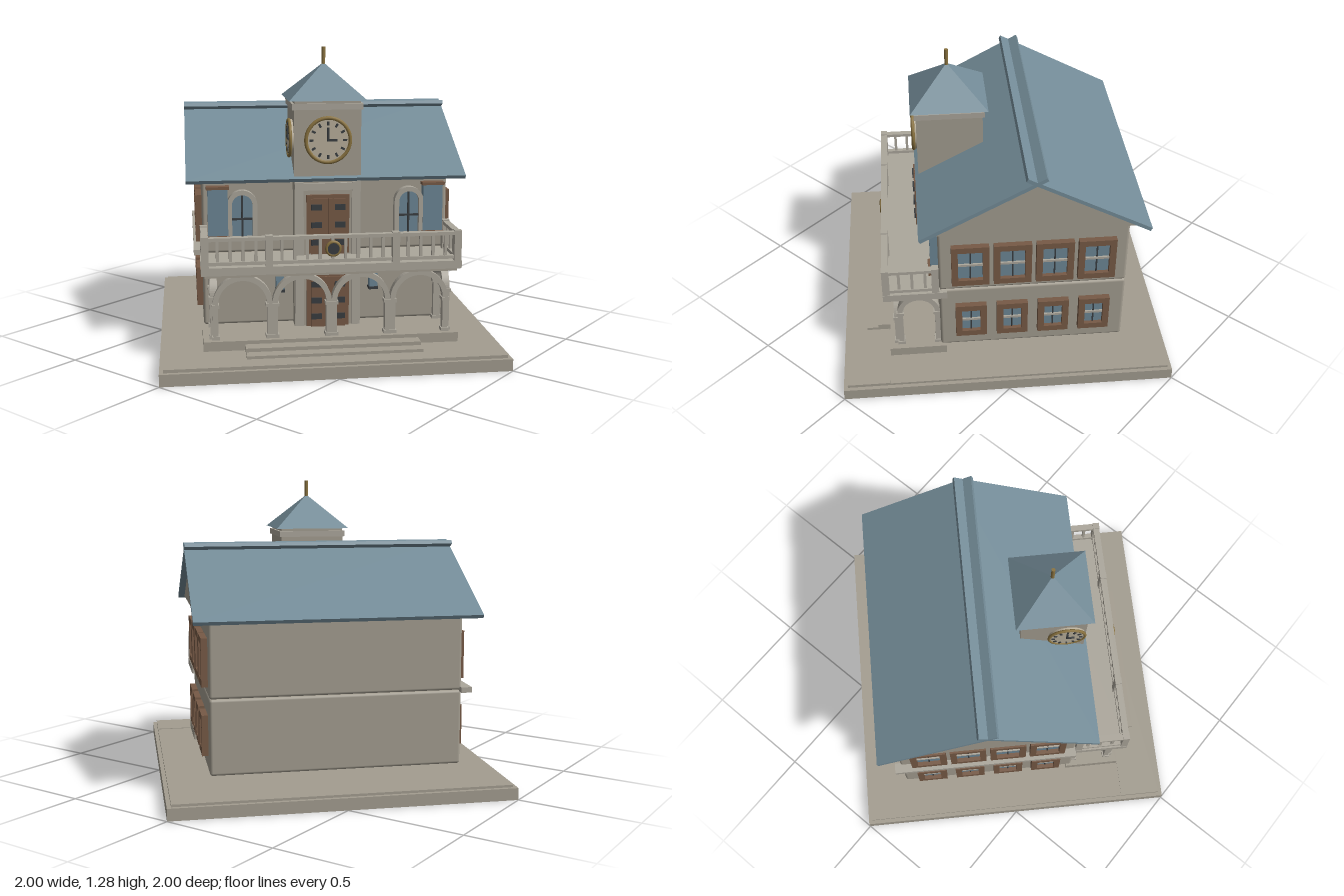
import * as THREE from 'three';
import { RoundedBoxGeometry } from 'three/addons/geometries/RoundedBoxGeometry.js';

const mat = (name, color, side = THREE.FrontSide) => {
  const m = new THREE.MeshStandardMaterial({ color, side });
  m.name = name;
  return m;
};

export function createModel() {
  const stone = mat('stone', 0xa39d90), trim = mat('trim', 0xaca79c), slate = mat('slate', 0x748c98),
    wood = mat('wood', 0x775a46), dark = mat('darkMetal', 0x393d40), glass = mat('glass', 0x6d8796),
    gold = mat('gold', 0x8a7340), cream = mat('clockFace', 0xb9af9b);

  const model = new THREE.Group();
  model.name = 'clockTowerHall';
  const hall = new THREE.Group();
  hall.name = 'hall';
  hall.rotation.y = Math.PI / 4; // the facade looks along the diagonal
  model.add(hall);

  const put = (parent, name, geo, m, x = 0, y = 0, z = 0) => {
    const mesh = new THREE.Mesh(geo, m);
    mesh.name = name;
    mesh.position.set(x, y, z);
    parent.add(mesh);
    return mesh;
  };
  const box = (parent, name, m, x0, x1, y0, y1, z0, z1, r = 0) => {
    const s = [x1 - x0, y1 - y0, z1 - z0];
    const geo = r ? new RoundedBoxGeometry(...s, 2, r) : new THREE.BoxGeometry(...s);
    return put(parent, name, geo, m, (x0 + x1) / 2, (y0 + y1) / 2, (z0 + z1) / 2);
  };
  const group = (name, x = 0, y = 0, z = 0, ry = 0) => {
    const g = new THREE.Group();
    g.name = name;
    g.position.set(x, y, z);
    g.rotation.y = ry;
    hall.add(g);
    return g;
  };
  const extrude = (shape, depth) => new THREE.ExtrudeGeometry(shape, { depth, bevelEnabled: false, curveSegments: 16 });
  // outline of a round-topped opening standing on y = 0
  const archPath = (P, w, spring, y0 = 0) => {
    const p = new P();
    p.moveTo(-w, y0);
    p.lineTo(w, y0);
    p.lineTo(w, spring);
    p.absarc(0, spring, w, 0, Math.PI, false);
    p.lineTo(-w, y0);
    return p;
  };

  // ground slab, porch and steps
  box(hall, 'groundSlab', stone, -0.707, 0.707, 0, 0.05, -0.707, 0.707);
  box(hall, 'paving', stone, -0.69, 0.69, 0.05, 0.06, -0.69, 0.69);
  box(hall, 'frontPath', stone, -0.69, 0.69, 0.06, 0.063, 0.51, 0.69);
  box(hall, 'porch', stone, -0.53, 0.53, 0.065, 0.105, 0.26, 0.505);
  box(hall, 'upperStep', stone, -0.36, 0.36, 0.06, 0.09, 0.5, 0.56);
  box(hall, 'lowerStep', stone, -0.36, 0.36, 0.06, 0.075, 0.5, 0.61);

  // two storeys
  box(hall, 'lowerStorey', stone, -0.523, 0.523, 0.108, 0.422, -0.51, 0.283, 0.012);
  box(hall, 'upperStorey', stone, -0.523, 0.523, 0.422, 0.755, -0.51, 0.283, 0.012);
  box(hall, 'sideLedge', trim, -0.56, -0.515, 0.415, 0.438, -0.535, 0.283);

  // attic and crossing roof slabs
  const ridgeZ = -0.113, slope = Math.atan2(0.255, 0.473);
  const attic = new THREE.Shape();
  attic.moveTo(-0.455, 0.742);
  attic.lineTo(0.455, 0.742);
  attic.lineTo(0, 0.99);
  const atticMesh = put(hall, 'attic', extrude(attic, 1.12), stone, -0.56, 0, ridgeZ);
  atticMesh.rotation.y = Math.PI / 2;
  for (const s of [1, -1]) {
    const slab = group('roofSlope', 0, 1.0, ridgeZ, s > 0 ? 0 : Math.PI);
    const tilt = new THREE.Group();
    tilt.rotation.x = slope;
    slab.add(tilt);
    box(tilt, 'roofSlab', slate, -0.587, 0.587, -0.016, 0, -0.042, 0.537);
  }

  // tower
  box(hall, 'towerBody', stone, -0.14, 0.14, 0.108, 1.04, 0.065, 0.345);
  const tz = 0.205;
  const band = (name, m, h, y0, y1) => box(hall, name, m, -h, h, y0, y1, tz - h, tz + h);
  band('towerCornice', trim, 0.148, 1.03, 1.055);
  band('towerNeck', stone, 0.138, 1.04, 1.072);
  const spire = new THREE.ConeGeometry(0.163 * Math.SQRT2, 0.148, 4, 1).toNonIndexed();
  spire.rotateY(Math.PI / 4);
  spire.computeVertexNormals();
  put(hall, 'towerRoof', spire, slate, 0, 1.141, tz);
  put(hall, 'finial', new THREE.CylinderGeometry(0.008, 0.008, 0.08, 10), gold, 0, 1.24, tz);
  for (const s of [-1, 1]) {
    box(hall, 'towerPilaster', trim, s * 0.12 - 0.018, s * 0.12 + 0.018, 0.11, 0.73, 0.34, 0.357);
  }
  box(hall, 'towerLintel', trim, -0.105, 0.105, 0.695, 0.725, 0.34, 0.36);

  // clocks on the front and on one side
  const clock = (x, y, z, ry, r) => {
    const g = group('clock', x, y, z, ry);
    const disc = put(g, 'clockDial', new THREE.CylinderGeometry(r * 0.93, r * 0.93, 0.016, 32), cream, 0, 0, 0.008);
    disc.rotation.x = Math.PI / 2;
    put(g, 'clockRim', new THREE.TorusGeometry(r * 0.92, r * 0.08, 8, 40), gold, 0, 0, 0.014);
    for (let i = 0; i < 12; i++) {
      const a = i * Math.PI / 6;
      const t = put(g, 'hourMark', new THREE.BoxGeometry(r * 0.09, r * 0.17, 0.004), dark,
        Math.sin(a) * r * 0.7, Math.cos(a) * r * 0.7, 0.018);
      t.rotation.z = -a;
    }
    box(g, 'minuteHand', dark, -r * 0.05, r * 0.05, -r * 0.05, r * 0.52, 0.016, 0.022);
    box(g, 'hourHand', dark, -r * 0.05, r * 0.38, -r * 0.05, r * 0.05, 0.016, 0.022);
  };
  clock(0, 0.905, 0.345, 0, 0.1);
  clock(-0.14, 0.905, 0.262, -Math.PI / 2, 0.083);

  // double doors with hinge straps
  const door = (y0, h) => {
    const g = group('door', 0, y0, 0.345);
    box(g, 'doorFrame', wood, -0.09, 0.09, 0, h, 0, 0.012);
    for (const s of [-1, 1]) {
      box(g, 'doorLeaf', wood, s * 0.037 - 0.035, s * 0.037 + 0.035, 0, h - 0.015, 0.01, 0.022);
      for (const f of [0.2, 0.5, 0.8]) {
        box(g, 'hingeStrap', dark, s * 0.05 - 0.022, s * 0.05 + 0.022, h * f - 0.012, h * f + 0.012, 0.02, 0.028);
      }
    }
  };
  door(0.108, 0.232);
  door(0.425, 0.25);

  // gable windows in rows of four
  const gableWindow = (x, y, z, ry, w, h) => {
    const g = group('gableWindow', x, y, z, ry);
    const a = w / 2, b = h / 2, t = 0.027;
    for (const s of [-1, 1]) {
      box(g, 'windowJamb', wood, s * (a - t / 2) - t / 2, s * (a - t / 2) + t / 2, -b, b, -0.005, 0.026);
      box(g, 'windowRail', wood, -a, a, s * (b - t / 2) - t / 2, s * (b - t / 2) + t / 2, -0.005, 0.026);
    }
    box(g, 'windowPane', glass, -a + t, a - t, -b + t, b - t, 0, 0.008);
    box(g, 'crossBar', trim, -a + t, a - t, -0.005, 0.005, 0.006, 0.016);
    box(g, 'uprightBar', dark, -0.003, 0.003, -b + t, b - t, 0.006, 0.012);
  };
  for (const s of [-1, 1]) {
    for (let i = 0; i < 4; i++) {
      const z = ridgeZ + (i - 1.5) * 0.176;
      gableWindow(s * 0.523, 0.562, z, s * Math.PI / 2, 0.157, 0.2);
      gableWindow(s * 0.523, 0.26, z, s * Math.PI / 2, 0.132, 0.168);
    }
  }

  // balcony windows, shutters and porch lanterns
  for (const s of [-1, 1]) {
    const g = group('archedWindow', s * 0.355, 0.48, 0.283);
    const frame = archPath(THREE.Shape, 0.063, 0.15);
    frame.holes.push(archPath(THREE.Path, 0.043, 0.15, 0.015));
    put(g, 'archedFrame', extrude(frame, 0.03), trim);
    put(g, 'archedPane', extrude(archPath(THREE.Shape, 0.045, 0.15), 0.009), glass);
    box(g, 'archedMullion', dark, -0.004, 0.004, 0.01, 0.19, 0.008, 0.018);
    box(g, 'archedTransom', dark, -0.043, 0.043, 0.085, 0.093, 0.008, 0.018);

    const x = s * 0.457;
    box(hall, 'shutter', glass, x - 0.042, x + 0.042, 0.5, 0.705, 0.28, 0.315);
    box(hall, 'shutterHead', wood, x - 0.048, x + 0.048, 0.7, 0.712, 0.28, 0.325);
    box(hall, 'shutterSill', wood, x - 0.048, x + 0.048, 0.49, 0.502, 0.28, 0.325);

    box(hall, 'lantern', glass, s * 0.2 - 0.017, s * 0.2 + 0.017, 0.265, 0.33, 0.3, 0.334);
    box(hall, 'lanternCap', dark, s * 0.2 - 0.022, s * 0.2 + 0.022, 0.33, 0.342, 0.283, 0.338);
    box(hall, 'lanternFoot', dark, s * 0.2 - 0.02, s * 0.2 + 0.02, 0.255, 0.267, 0.296, 0.337);
  }

  // arcade below the balcony
  const arch = (x, z, ry, w) => {
    const g = group('arch', x, 0.105, z, ry);
    const spring = 0.268 - w, t = 0.022;
    const ring = new THREE.Shape();
    ring.moveTo(w, 0);
    ring.lineTo(w, spring);
    ring.absarc(0, spring, w, 0, Math.PI, false);
    ring.lineTo(-w, 0);
    ring.lineTo(-w + t, 0);
    ring.lineTo(-w + t, spring);
    ring.absarc(0, spring, w - t, Math.PI, 0, true);
    ring.lineTo(w - t, 0);
    put(g, 'archRing', extrude(ring, 0.03), trim, 0, 0, -0.015);
    for (const s of [-1, 1]) for (const y of [0, spring - 0.012]) {
      const c = s * (w - t / 2);
      box(g, y ? 'capital' : 'columnBase', trim, c - 0.016, c + 0.016, y, y + 0.014, -0.02, 0.02);
    }
  };
  for (let i = 0; i < 4; i++) arch((i - 1.5) * 0.245, 0.465, 0, 0.1225);
  for (const s of [-1, 1]) arch(s * 0.485, 0.374, Math.PI / 2, 0.091);

  // balcony floor
  box(hall, 'balconySlab', trim, -0.535, 0.535, 0.385, 0.418, 0.25, 0.52);
  box(hall, 'balconySoffit', stone, -0.52, 0.52, 0.372, 0.386, 0.26, 0.505);

  // railing: each run has two rails and evenly spaced balusters
  const railing = (x, z, ry, len) => {
    const g = group('railing', x, 0.418, z, ry);
    box(g, 'handRail', trim, -len / 2, len / 2, 0.108, 0.122, -0.014, 0.014);
    box(g, 'footRail', trim, -len / 2, len / 2, 0.008, 0.022, -0.011, 0.011);
    const n = Math.round(len / 0.052);
    for (let i = 1; i < n; i++) {
      const bx = -len / 2 + (i * len) / n;
      box(g, 'baluster', trim, bx - 0.006, bx + 0.006, 0.02, 0.11, -0.006, 0.006);
    }
  };
  railing(0, 0.505, 0, 1.04);
  for (const s of [-1, 1]) {
    railing(s * 0.518, 0.395, Math.PI / 2, 0.22);
    for (const [px, pz] of [[0.518, 0.505], [0.518, 0.298], [0.26, 0.505]]) {
      box(hall, 'railingPost', trim, s * px - 0.015, s * px + 0.015, 0.418, 0.545, pz - 0.015, pz + 0.015);
    }
  }

  // round emblem at the middle of the railing
  const emblem = group('emblem', 0, 0.485, 0.52);
  put(emblem, 'emblemRing', new THREE.TorusGeometry(0.027, 0.007, 8, 24), gold);
  const boss = put(emblem, 'emblemBoss', new THREE.CylinderGeometry(0.024, 0.024, 0.012, 20), dark);
  boss.rotation.x = Math.PI / 2;

  return model;
}
